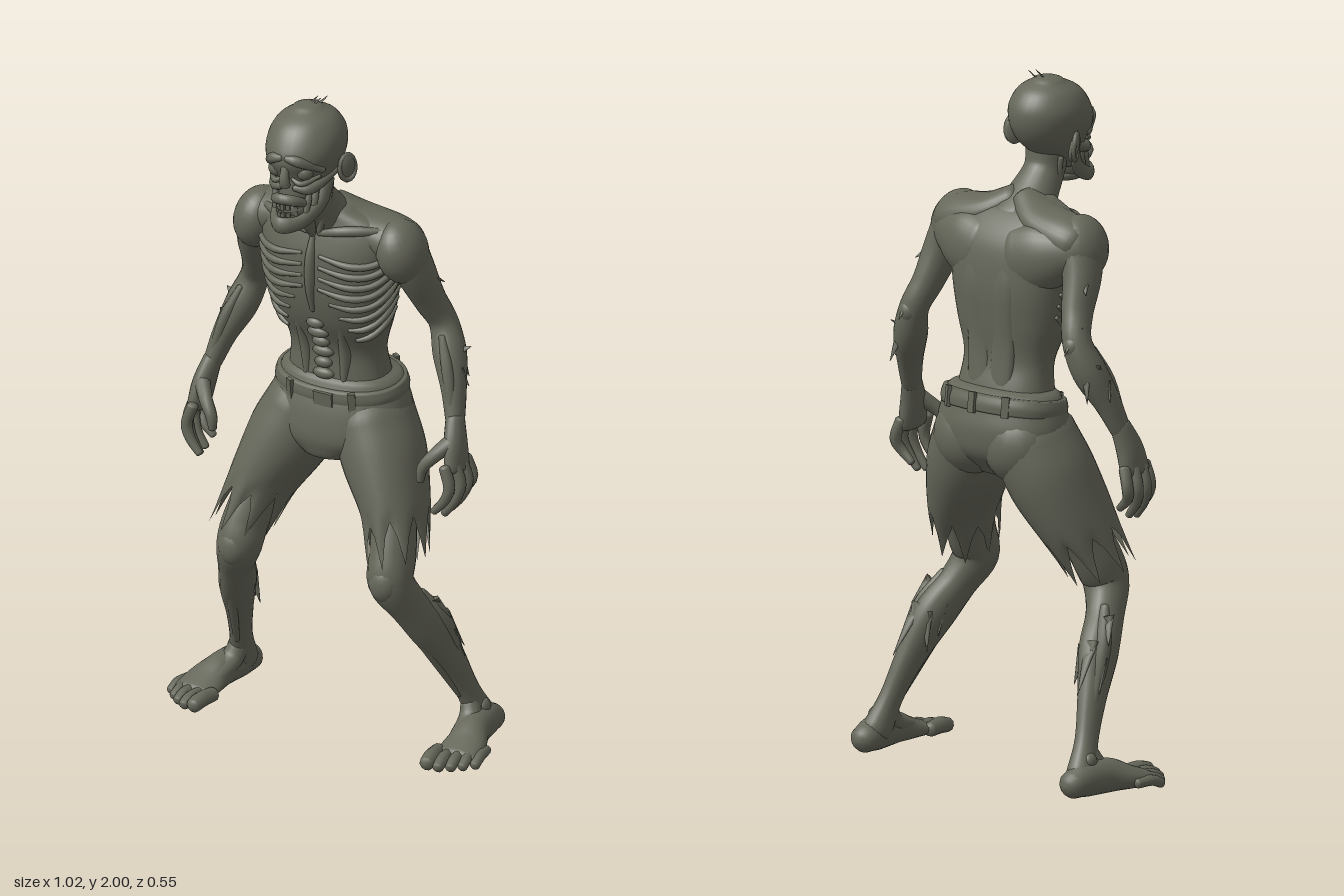
import * as THREE from 'three';

const skin = new THREE.MeshStandardMaterial({ color: 0x66675a, side: THREE.DoubleSide });
skin.name = 'greyGreen';
const V = (x, y, z) => new THREE.Vector3(x, y, z);

export function createModel() {
  const root = new THREE.Group();
  root.name = 'ghoul';
  let parent = root;

  const add = (name, geo, pos = [0, 0, 0], scale = [1, 1, 1], rot = [0, 0, 0]) => {
    const m = new THREE.Mesh(geo, skin);
    m.name = name;
    m.position.set(...pos);
    m.scale.set(...scale);
    m.rotation.set(...rot);
    parent.add(m);
    return m;
  };
  const ball = (name, pos, scale, rot) => add(name, new THREE.SphereGeometry(1, 24, 16), pos, scale, rot);

  // Smooth skin through elliptical sections [x, y, z, ru, rv]; ends are domed, or open and ragged.
  function loft(name, rows, o = {}) {
    const { n = 20, steps = 5, ref = V(1, 0, 0), flat = false, pow = 1, bulge = 0.6, rag = 0 } = o;
    const path = new THREE.CatmullRomCurve3(rows.map(r => V(r[0], r[1], r[2])), false, 'catmullrom', 0.5);
    const size = new THREE.CatmullRomCurve3(rows.map(r => V(r[3], r[4] ?? r[3], 0)), false, 'catmullrom', 0.5);
    const total = (rows.length - 1) * steps, rings = [];
    for (let i = 0; i <= total; i++) {
      const s = size.getPoint(i / total);
      rings.push({ p: path.getPoint(i / total), t: flat ? V(0, 1, 0) : path.getTangent(i / total), a: s.x, b: s.y, k: i / total });
    }
    const dome = (r, sign) => [1, 2, 3, 4].map(q => {
      const g = q * Math.PI / 8, c = Math.cos(g);
      return { p: r.p.clone().addScaledVector(r.t, sign * Math.sin(g) * Math.min(r.a, r.b) * bulge), t: r.t, a: r.a * c, b: r.b * c, k: 0 };
    });
    const all = [...dome(rings[0], -1).reverse(), ...rings, ...(rag ? [] : dome(rings[total], 1))];
    const pos = [], idx = [], sp = w => Math.sign(w) * Math.abs(w) ** pow;
    all.forEach((r, i) => {
      const u = ref.clone().addScaledVector(r.t, -ref.dot(r.t)).normalize();
      const v = r.t.clone().cross(u);
      for (let j = 0; j < n; j++) {
        const g = j / n * Math.PI * 2;
        const q = r.p.clone().addScaledVector(u, sp(Math.cos(g)) * r.a).addScaledVector(v, sp(Math.sin(g)) * r.b);
        // torn edge: long and short points hanging from the last rings
        if (rag) q.addScaledVector(r.t, rag * Math.max(0, r.k - 0.7) / 0.3 * (Math.abs((j % 4) - 2) - 1) * (1 + 0.5 * Math.sin(j * 1.7)));
        pos.push(q.x, q.y, q.z);
        if (i < all.length - 1) {
          const a = i * n + j, b = i * n + (j + 1) % n;
          idx.push(a, b, b + n, a, b + n, a + n);
        }
      }
    });
    const geo = new THREE.BufferGeometry();
    geo.setAttribute('position', new THREE.Float32BufferAttribute(pos, 3));
    geo.setIndex(idx);
    geo.computeVertexNormals();
    return add(name, geo);
  }
  const cord = (name, pts, r, ref = V(0, 0, 1)) =>
    loft(name, pts.map((p, i) => [...p, r * (i === 0 || i === pts.length - 1 ? 0.55 : 1)]), { n: 8, steps: 4, ref });
  const shred = (name, a, b, r) => loft(name, [[...a, r, r * 0.4], [...b, 0.001, 0.001]], { n: 6, steps: 2 });

  // Torso: [y, front z, back z, half width]
  const body = [[1.02, 0.02, -0.2, 0.17], [1.12, 0.012, -0.178, 0.152], [1.2, 0.015, -0.157, 0.148], [1.3, 0.062, -0.168, 0.178],
    [1.4, 0.088, -0.177, 0.198], [1.5, 0.09, -0.17, 0.212], [1.56, 0.078, -0.148, 0.22], [1.61, 0.062, -0.106, 0.19], [1.645, 0.058, -0.058, 0.1]];
  loft('torso', body.map(([y, f, b, w]) => [0, y, (f + b) / 2, w, (f - b) / 2]), { n: 40, flat: true, pow: 0.85, bulge: 0.3 });
  const onBody = (y, g, out = 0) => {
    let i = 0;
    while (i < body.length - 2 && y > body[i + 1][0]) i++;
    const k = (y - body[i][0]) / (body[i + 1][0] - body[i][0]);
    const [f, b, w] = [1, 2, 3].map(c => body[i][c] + (body[i + 1][c] - body[i][c]) * k);
    const sp = q => Math.sign(q) * Math.abs(q) ** 0.85;
    return [sp(Math.sin(g)) * (w + out), y, (f + b) / 2 + sp(Math.cos(g)) * ((f - b) / 2 + out)];
  };

  // Breastbone and exposed segments of the belly
  cord('breastbone', [1.57, 1.5, 1.42, 1.34].map(y => onBody(y, 0)), 0.015);
  for (let i = 0; i < 6; i++)
    ball('bellySegment', onBody(1.12 + i * 0.035, 0), [0.034 - (i % 2) * 0.006, 0.017, 0.016]);

  // Hips
  const hips = [[0.875, 0.045, -0.165, 0.1], [0.93, 0.06, -0.22, 0.195], [1.0, 0.052, -0.235, 0.212], [1.06, 0.035, -0.225, 0.198], [1.1, 0.02, -0.215, 0.183]];
  loft('hips', hips.map(([y, f, b, w]) => [0, y, (f + b) / 2, w, (f - b) / 2]), { n: 40, flat: true, pow: 0.9, bulge: 0.25 });

  // Belt, buckle and loops
  const belt = new THREE.Group();
  belt.name = 'belt';
  belt.position.set(0, 1.07, -0.093);
  belt.rotation.x = 0.12;
  root.add(belt);
  parent = belt;
  loft('beltBand', [[0, -0.024, 0, 0.199, 0.134], [0, 0, 0, 0.202, 0.136], [0, 0.024, 0, 0.195, 0.131]], { n: 40, flat: true, pow: 0.9, bulge: 0.03 });
  for (const g of [0.5, -0.5, 2.6, -2.6, Math.PI])
    add('beltLoop', new THREE.BoxGeometry(0.022, 0.06, 0.012), [Math.sin(g) * 0.21, 0, Math.cos(g) * 0.138], [1, 1, 1], [0, g, 0]);
  add('buckle', new THREE.BoxGeometry(0.06, 0.042, 0.01), [0.015, 0, 0.135]);
  parent = root;

  // Neck
  loft('neck', [[0, 1.57, -0.03, 0.11, 0.085], [0, 1.645, 0.03, 0.075, 0.066], [0, 1.71, 0.075, 0.06, 0.058], [0, 1.78, 0.09, 0.066, 0.062]], { n: 24 });
  cord('windpipe', [[0, 1.58, 0.075], [0, 1.64, 0.105], [0.003, 1.7, 0.15]], 0.022);

  for (const s of [1, -1]) {
    const S = rows => rows.map(([x, ...r]) => [x * s, ...r]);
    const P = (x, y, z) => [x * s, y, z];
    const side = new THREE.Group();
    side.name = s > 0 ? 'leftSide' : 'rightSide';
    root.add(side);
    parent = side;

    // Ribs sweep from the breastbone around the flank
    for (let i = 0; i < 8; i++) {
      const start = 0.1 + Math.max(0, i - 3) * 0.15, y0 = 1.525 - i * 0.034;
      const pts = [0, 0.25, 0.5, 0.75, 1].map(k => {
        const g = start + k * (1.75 - start);
        return onBody(y0 - 0.04 * Math.sin(g * 1.9) + 0.04 * k, g * s, 0.001);
      });
      cord('rib', pts, 0.011, V(0, 1, 0));
    }
    cord('collarbone', S([[0.02, 1.582, 0.072], [0.08, 1.598, 0.066], [0.14, 1.604, 0.042], [0.2, 1.605, 0.01]]), 0.015, V(0, 1, 0));
    cord('neckTendon', S([[0.02, 1.585, 0.072], [0.04, 1.66, 0.075], [0.062, 1.75, 0.075]]), 0.015);
    cord('abdominalMuscle', S([[0.06, 1.1, 0.0], [0.065, 1.2, 0.0], [0.07, 1.29, 0.04]]), 0.02);

    // Shoulder girdle and back muscles
    loft('shoulderMuscle', S([[0.02, 1.64, -0.02, 0.04, 0.05], [0.1, 1.597, -0.035, 0.05, 0.08], [0.19, 1.566, -0.04, 0.066, 0.085], [0.235, 1.55, -0.035, 0.065, 0.08]]), { ref: V(0, 1, 0), n: 28 });
    loft('upperBack', S([[0.07, 1.49, -0.1, 0.1, 0.068], [0.14, 1.505, -0.09, 0.1, 0.07], [0.2, 1.52, -0.07, 0.08, 0.064], [0.245, 1.52, -0.05, 0.06, 0.055]]), { ref: V(0, 1, 0), n: 28 });
    loft('spineMuscle', S([[0.04, 1.12, -0.155, 0.04, 0.018], [0.045, 1.25, -0.146, 0.042, 0.02], [0.05, 1.4, -0.16, 0.045, 0.018], [0.05, 1.5, -0.15, 0.04, 0.016]]));

    // Arm
    ball('deltoid', P(0.234, 1.538, -0.027), [0.07, 0.095, 0.086], [0.2, 0, 0.25 * s]);
    loft('arm', S([[0.235, 1.55, -0.03, 0.06, 0.075], [0.264, 1.46, -0.06, 0.051, 0.063], [0.283, 1.37, -0.1, 0.043, 0.05], [0.309, 1.295, -0.13, 0.042, 0.043],
      [0.34, 1.21, -0.112, 0.048, 0.051], [0.375, 1.12, -0.075, 0.035, 0.041], [0.397, 1.04, -0.045, 0.026, 0.032]]));
    cord('forearmTendon', S([[0.33, 1.27, -0.085], [0.365, 1.18, -0.058], [0.395, 1.06, -0.03]]), 0.018);
    ball('elbow', P(0.312, 1.285, -0.148), [0.03, 0.035, 0.03]);
    for (const [a, b] of [[[0.315, 1.34, -0.135], [0.315, 1.265, -0.19]], [[0.36, 1.22, -0.11], [0.4, 1.24, -0.13]],
      [[0.35, 1.22, -0.14], [0.375, 1.13, -0.16]], [[0.38, 1.18, -0.09], [0.41, 1.13, -0.1]], [[0.29, 1.46, -0.08], [0.325, 1.43, -0.11]]])
      shred('tornArmSkin', P(...a), P(...b), 0.021);

    // Hand
    loft('palm', S([[0.397, 1.05, -0.045, 0.026, 0.032], [0.412, 0.98, -0.022, 0.03, 0.046], [0.423, 0.915, -0.012, 0.026, 0.055]]));
    [-0.058, -0.026, 0.008, 0.04].forEach((z, i) => {
      const d = [0.03, 0.005, 0, 0.015][i], o = [0, 0.006, 0.004, -0.012][i];
      loft('finger', S([[0.425 + o, 0.93, z, 0.017], [0.442 + o, 0.875, z * 1.1, 0.017], [0.428 + o, 0.825 + d * 0.5, z + 0.008, 0.015], [0.396 + o, 0.78 + d, z + 0.012, 0.011]]), { n: 10, steps: 3 });
    });
    loft('thumb', S([[0.405, 0.99, 0, 0.024], [0.372, 0.955, 0.035, 0.02], [0.346, 0.92, 0.05, 0.017], [0.34, 0.882, 0.053, 0.012]]), { n: 10, steps: 3 });

    // Seat and torn trouser leg
    ball('trouserSeat', P(0.092, 0.965, -0.125), [0.115, 0.12, 0.106], [0.15, 0, 0]);
    loft('trouserLeg', S([[0.105, 0.98, -0.09, 0.112, 0.132], [0.152, 0.87, -0.065, 0.119, 0.138], [0.21, 0.745, -0.026, 0.095, 0.126], [0.238, 0.66, 0.006, 0.084, 0.106]]), { n: 32, rag: 0.065 });

    // Bare leg
    loft('leg', S([[0.215, 0.74, -0.02, 0.06, 0.075], [0.24, 0.62, 0.035, 0.064, 0.076], [0.248, 0.55, 0.06, 0.065, 0.068], [0.28, 0.47, 0.02, 0.052, 0.06],
      [0.314, 0.38, -0.045, 0.051, 0.067], [0.347, 0.26, -0.11, 0.037, 0.048], [0.372, 0.15, -0.16, 0.031, 0.038], [0.39, 0.06, -0.2, 0.042, 0.05]]));
    ball('kneecap', P(0.247, 0.555, 0.092), [0.047, 0.06, 0.041]);
    cord('shinBone', S([[0.262, 0.5, 0.075], [0.303, 0.38, 0.012], [0.365, 0.15, -0.125]]), 0.017);
    cord('calfMuscle', S([[0.305, 0.5, -0.01], [0.345, 0.4, -0.065], [0.37, 0.25, -0.13]]), 0.026);
    for (const [a, b] of [[[0.33, 0.42, -0.09], [0.35, 0.28, -0.175]], [[0.3, 0.4, -0.09], [0.28, 0.29, -0.11]],
      [[0.335, 0.48, -0.03], [0.375, 0.41, -0.07]], [[0.355, 0.37, -0.08], [0.385, 0.28, -0.12]], [[0.28, 0.42, -0.05], [0.272, 0.33, -0.07]]])
      shred('tornCalfSkin', P(...a), P(...b), 0.024);

    // Foot
    loft('foot', S([[0.396, 0.042, -0.245, 0.042, 0.04], [0.4, 0.05, -0.2, 0.046, 0.05], [0.412, 0.05, -0.12, 0.048, 0.05], [0.426, 0.036, -0.05, 0.063, 0.035], [0.43, 0.026, 0.005, 0.066, 0.024]]), { bulge: 0.8 });
    loft('instep', S([[0.378, 0.12, -0.165, 0.028, 0.032], [0.392, 0.075, -0.135, 0.034, 0.03], [0.405, 0.05, -0.06, 0.035, 0.022]]));
    ball('ankleBone', P(0.406, 0.1, -0.185), [0.021, 0.026, 0.024]);
    [[0.378, 0.088, 0.024], [0.412, 0.084, 0.018], [0.442, 0.066, 0.017], [0.468, 0.043, 0.016], [0.493, 0.016, 0.016]].forEach(([x, z, r]) =>
      loft('toe', S([[x - 0.008, 0.028, z - 0.085, r * 0.9], [x, 0.03, z - 0.035, r], [x + 0.004, r, z, r * 0.9]]), { n: 10, steps: 3 }));
  }

  // Head, leaning slightly to its right
  const head = new THREE.Group();
  head.name = 'head';
  head.position.set(0, 1.74, 0);
  head.rotation.z = 0.07;
  root.add(head);
  parent = head;
  loft('skull', [[-0.02, 0.21, 0.075, 0.052], [0.02, 0.208, 0.035, 0.07], [0.06, 0.207, -0.012, 0.092], [0.11, 0.226, -0.038, 0.109],
    [0.16, 0.21, -0.04, 0.108], [0.205, 0.175, -0.014, 0.084], [0.232, 0.12, 0.03, 0.044]]
    .map(([y, f, b, w]) => [0, y, (f + b) / 2, w, (f - b) / 2]), { n: 32, flat: true, bulge: 0.25 });
  // Gaping jaw with teeth
  loft('lowerJaw', [[-0.078, 0.04, 0.11, 0.02, 0.012], [-0.068, -0.025, 0.145, 0.022, 0.013], [-0.044, -0.06, 0.215, 0.021, 0.014], [0, -0.064, 0.255, 0.025, 0.017],
    [0.044, -0.06, 0.215, 0.021, 0.014], [0.068, -0.025, 0.145, 0.022, 0.013], [0.078, 0.04, 0.11, 0.02, 0.012]], { n: 12, ref: V(0, 1, 0) });
  ball('mouthFloor', [0, -0.058, 0.175], [0.048, 0.022, 0.07]);
  ball('mouthLining', [0, -0.03, 0.172], [0.054, 0.045, 0.058]);
  cord('upperLip', [[-0.05, -0.02, 0.18], [-0.032, 0.002, 0.222], [0, 0.01, 0.238], [0.032, 0.002, 0.222], [0.05, -0.02, 0.18]], 0.016, V(0, 1, 0));
  for (let i = -2; i <= 2; i++) for (const [y, h] of [[-0.01, 0.022], [-0.041, 0.02]])
    add('tooth', new THREE.BoxGeometry(0.012, h, 0.01), [i * 0.014, y, 0.242 - i * i * 0.006], [1, 1, 1], [0, i * 0.25, 0]);
  loft('nose', [[0, 0.1, 0.216, 0.012, 0.01], [0, 0.065, 0.224, 0.015, 0.013], [0, 0.045, 0.222, 0.017, 0.012]], { n: 12 });
  for (const s of [1, -1]) {
    const M = pts => pts.map(([x, y, z]) => [x * s, y, z]);
    ball('eye', [0.045 * s, 0.08, 0.185], [0.026, 0.024, 0.024]);
    cord('brow', M([[0.008, 0.128, 0.22], [0.045, 0.118, 0.208], [0.088, 0.082, 0.155]]), 0.017, V(0, 1, 0));
    cord('lowerLid', M([[0.015, 0.062, 0.206], [0.045, 0.05, 0.204], [0.08, 0.064, 0.16]]), 0.009, V(0, 1, 0));
    cord('cheekbone', M([[0.022, 0.035, 0.208], [0.06, 0.03, 0.178], [0.093, 0.06, 0.085]]), 0.017, V(0, 1, 0));
    for (let i = 0; i < 3; i++)
      cord('cheekStrand', M([[0.076 - i * 0.009, 0.03, 0.13 + i * 0.025], [0.068 - i * 0.008, -0.01, 0.14 + i * 0.025], [0.066 - i * 0.008, -0.05, 0.155 + i * 0.025]]), 0.011);
    ball('ear', [0.114 * s, 0.06, 0.07], [0.013, 0.044, 0.03], [0, -0.5 * s, -0.15 * s]);
    add('earRim', new THREE.TorusGeometry(0.03, 0.007, 8, 20), [0.118 * s, 0.062, 0.072], [0.85, 1.25, 1], [0, Math.PI / 2 - 0.5 * s, 0]);
  }
  // Sparse hair
  for (const [x, z] of [[0, 0.06], [0.015, 0.07], [0.025, 0.05]])
    shred('hairWisp', [x, 0.235, z], [x + 0.02, 0.255, z - 0.012], 0.005);

  return root;
}
